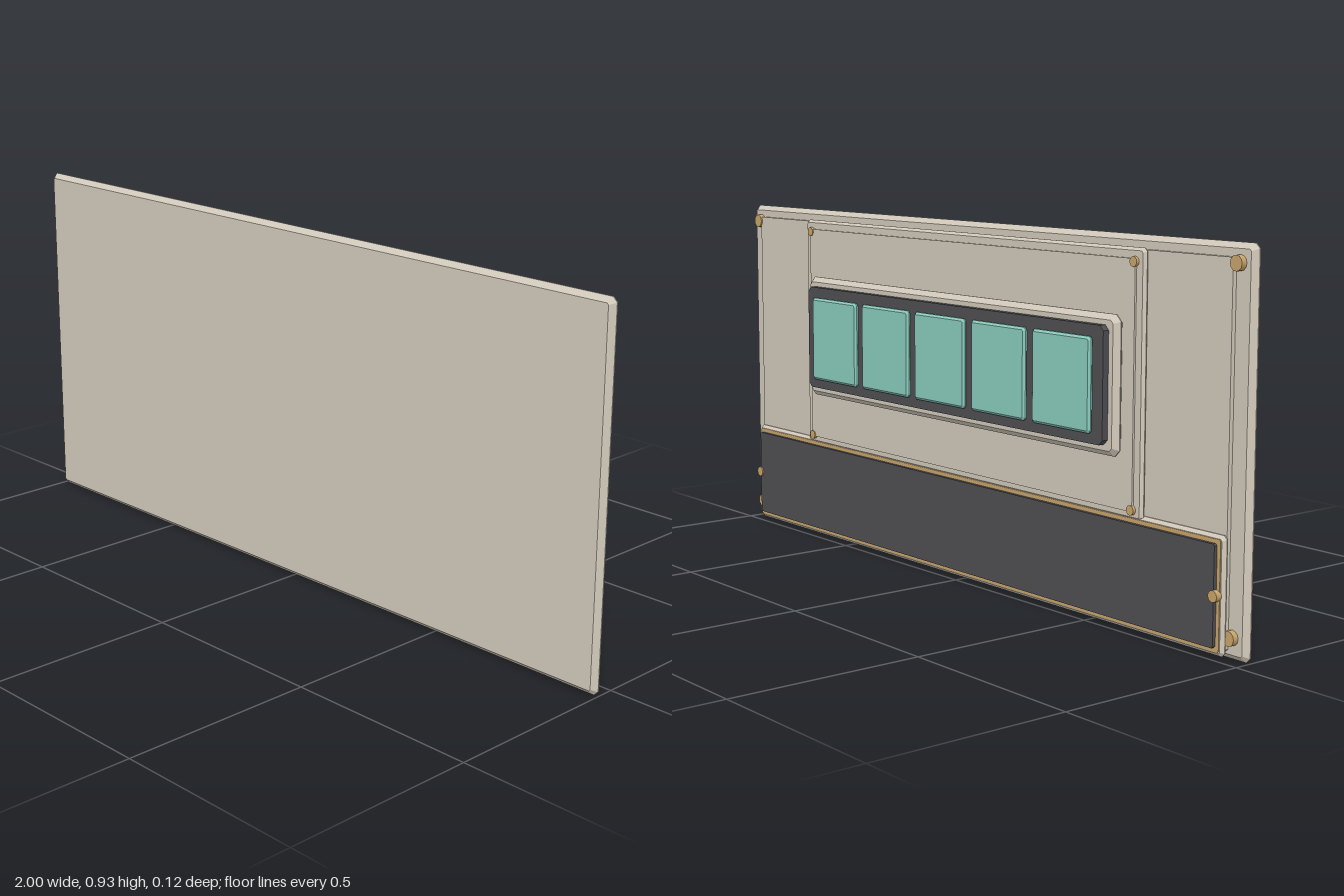
import * as THREE from 'three';

const paint = (name, color) => {
  const m = new THREE.MeshStandardMaterial({ color });
  m.name = name;
  return m;
};

export function createModel() {
  const cream = paint('cream', 0xd2cabb);
  const dark = paint('charcoal', 0x4f4e52);
  const teal = paint('teal glass', 0x8accbe);
  const brass = paint('brass', 0xc9a56b);

  const model = new THREE.Group();
  model.name = 'wallPanel';

  // Plate between z0 (back) and z1 (front) with clipped corners and bevelled rims
  function plate(name, mat, [x0, x1], [y0, y1], [z0, z1], bevel = 0, rim = bevel, corner = 0.004) {
    const a = x0 + bevel, b = x1 - bevel, c = y0 + bevel, d = y1 - bevel, k = corner;
    const shape = new THREE.Shape([
      [a + k, c], [b - k, c], [b, c + k], [b, d - k],
      [b - k, d], [a + k, d], [a, d - k], [a, c + k],
    ].map(([x, y]) => new THREE.Vector2(x, y)));
    const geo = new THREE.ExtrudeGeometry(shape, {
      depth: z1 - z0 - 2 * rim, bevelEnabled: bevel > 0,
      bevelSize: bevel, bevelThickness: rim, bevelSegments: 1,
    });
    geo.translate(0, 0, z0 + rim);
    const mesh = new THREE.Mesh(geo, mat);
    mesh.name = name;
    model.add(mesh);
  }

  // Mirrored pair of round studs with their axes along z
  function studs(name, x, y, [z0, z1], r) {
    for (const side of [-1, 1]) {
      const geo = new THREE.CylinderGeometry(r, r, z1 - z0, 12);
      geo.rotateX(Math.PI / 2);
      const mesh = new THREE.Mesh(geo, brass);
      mesh.name = name;
      mesh.position.set(side * x, y, (z0 + z1) / 2);
      model.add(mesh);
    }
  }

  // Main slab and backing plate
  plate('mainSlab', cream, [-1, 1], [0, 0.932], [0.031, 0.06], 0.013);
  plate('backingPlate', cream, [-0.945, 0.945], [0.02, 0.9], [0.02, 0.032]);
  for (const y of [0.053, 0.888]) studs('cornerStud', 0.957, y, [0.016, 0.033], 0.018);

  // Raised centre panel in two layers
  plate('centrePanel', cream, [-0.687, 0.687], [0.272, 0.905], [0.005, 0.021], 0.007);
  plate('centrePanelFace', cream, [-0.66, 0.66], [0.292, 0.88], [0, 0.006]);
  for (const y of [0.296, 0.873]) studs('panelStud', 0.656, y, [-0.003, 0.006], 0.012);

  // Lower dark band on its brass-edged tray
  plate('bandTray', cream, [-0.95, 0.95], [0.008, 0.285], [0.007, 0.026], 0.008);
  plate('bandTrim', brass, [-0.94, 0.94], [0.018, 0.276], [0.005, 0.008]);
  plate('darkBand', dark, [-0.93, 0.93], [0.028, 0.266], [-0.004, 0.006]);
  studs('bandStud', 0.93, 0.148, [-0.008, 0.008], 0.014);

  // Window frame, dark bed and five panes
  plate('windowFrame', cream, [-0.632, 0.632], [0.418, 0.75], [-0.028, 0.001], 0.013, 0.013, 0.008);
  plate('windowBed', dark, [-0.605, 0.605], [0.445, 0.725], [-0.045, -0.027], 0, 0, 0.012);
  for (let i = -2; i <= 2; i++) {
    const x = i * 0.234;
    plate('windowPane', teal, [x - 0.104, x + 0.104], [0.47, 0.697], [-0.057, -0.043], 0.006, 0.005, 0.003);
  }
  return model;
}
